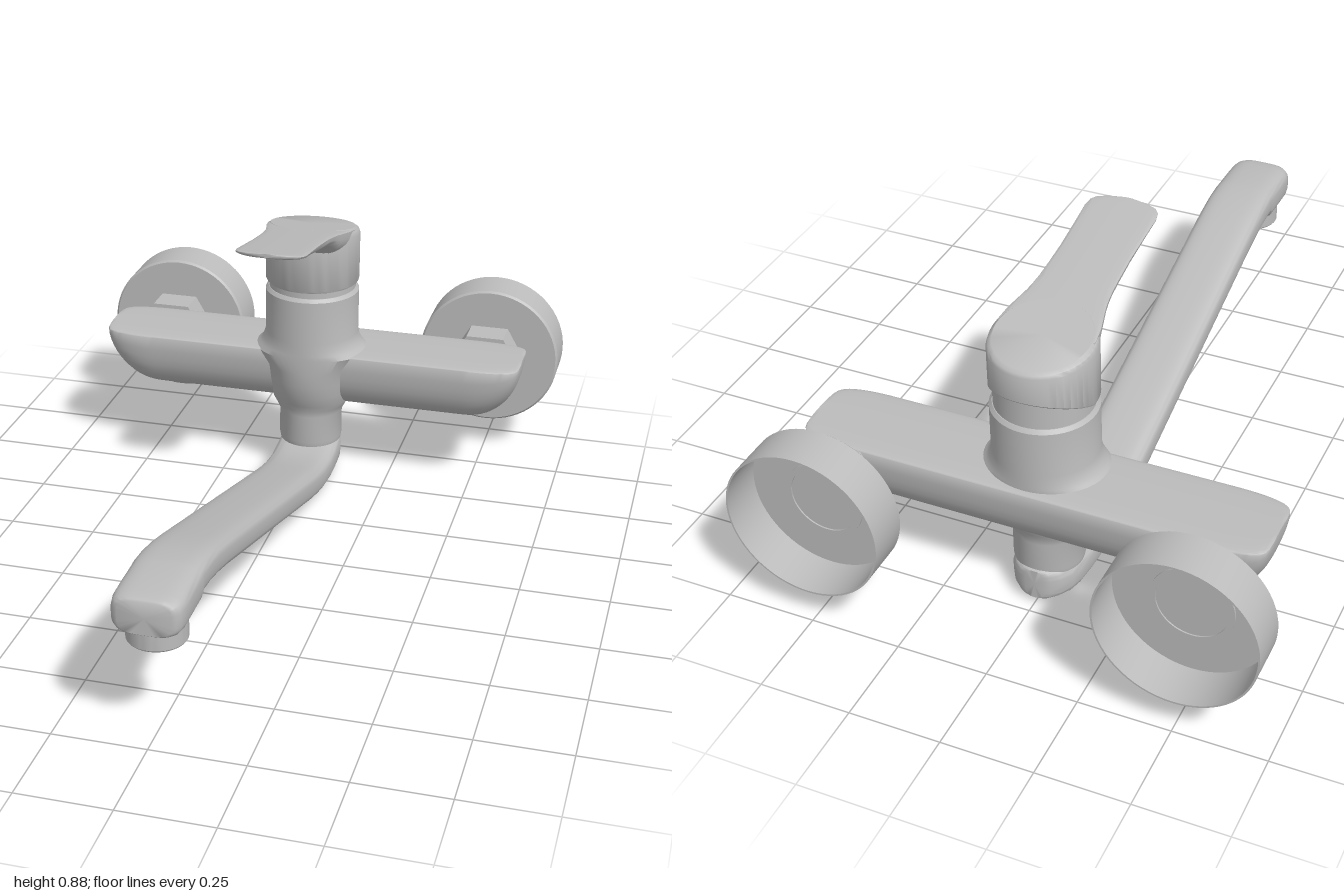
import * as THREE from 'three';
import { toCreasedNormals } from 'three/addons/utils/BufferGeometryUtils.js';

const metal = new THREE.MeshStandardMaterial({ color: 0xbcbcbc });
metal.name = 'satin metal';

const BODY_Z = -0.615;
const RING = 40;

function part(name, geometry, crease = 0.6) {
  const mesh = new THREE.Mesh(toCreasedNormals(geometry, crease), metal);
  mesh.name = name;
  return mesh;
}

const lathe = (points, segments = 48) =>
  new THREE.LatheGeometry(points.map(([r, y]) => new THREE.Vector2(r, y)), segments);

// Superellipse outline with separate upper and lower heights
function outline(halfWidth, up, down, power) {
  return Array.from({ length: RING }, (_, i) => {
    const t = (i / RING) * Math.PI * 2;
    const bend = (v) => Math.sign(v) * Math.abs(v) ** power;
    const s = bend(Math.sin(t));
    return [halfWidth * bend(Math.cos(t)), s * (s > 0 ? up : down)];
  });
}

// Skin a list of rings of [x, y, z] and close both ends
function loft(rings) {
  const pos = rings.flat(2);
  const index = [];
  const last = rings.length - 1;
  for (let i = 0; i < last; i++) {
    for (let j = 0; j < RING; j++) {
      const k = (j + 1) % RING;
      const a = i * RING + j, b = i * RING + k;
      index.push(a, b, a + RING, b, b + RING, a + RING);
    }
  }
  for (const end of [0, last]) {
    const centre = pos.length / 3;
    for (let n = 0; n < 3; n++) pos.push(rings[end].reduce((s, p) => s + p[n], 0) / RING);
    for (let j = 0; j < RING; j++) {
      const a = end * RING + j, b = end * RING + (j + 1) % RING;
      if (end === 0) index.push(centre, b, a);
      else index.push(centre, a, b);
    }
  }
  const g = new THREE.BufferGeometry();
  g.setAttribute('position', new THREE.Float32BufferAttribute(pos, 3));
  g.setIndex(index);
  return g;
}

// Move every vertex by a rule
function reshape(geometry, rule) {
  const p = geometry.attributes.position;
  const v = new THREE.Vector3();
  for (let i = 0; i < p.count; i++) {
    rule(v.fromBufferAttribute(p, i));
    p.setXYZ(i, v.x, v.y, v.z);
  }
  return geometry;
}

// Crossbar: flat top, round belly, boat-shaped ends
function crossbar() {
  const rings = [];
  const addRing = (x, k) => rings.push(
    outline(0.12 * k ** 0.25, 0.008, 0.18 * k, 0.8).map(([u, v]) => [x, 0.405 + v, -0.65 - u]));
  const steps = 14;
  for (let side = -1; side <= 1; side += 2) {
    for (let i = 0; i <= steps; i++) {
      const a = 1.52 * (side < 0 ? 1 - i / steps : i / steps);
      addRing(side * (0.48 + 0.16 * Math.sin(a)), Math.cos(a));
    }
  }
  return part('crossbar', loft(rings), 0.7);
}

// Central body, flared sideways where it meets the crossbar
function body() {
  const g = lathe([
    [0, 0.1], [0.092, 0.1], [0.095, 0.115], [0.095, 0.2], [0.098, 0.22], [0.108, 0.24],
    [0.122, 0.275], [0.132, 0.315], [0.138, 0.36], [0.14, 0.405], [0.14, 0.42], [0.14, 0.435],
    [0.14, 0.46], [0.14, 0.592], [0.132, 0.602], [0, 0.602],
  ]);
  reshape(g, (v) => {
    const upper = Math.max(0, 1 - Math.abs(v.y - 0.405) / 0.055);
    const lower = Math.max(0, 1 - Math.abs(v.y - 0.23) / 0.03);
    v.x *= 1 + 0.25 * upper ** 2 + 0.18 * lower ** 2;
    v.z += BODY_Z;
  });
  return part('centralBody', g);
}

// Handle: sloped cap with a flat lever
const leverTop = (z) => 0.768 + (z + 0.755) * 0.176;

function handle() {
  const group = new THREE.Group();
  group.name = 'handle';

  const core = part('cartridgeNeck', new THREE.CylinderGeometry(0.13, 0.13, 0.12, 48));
  core.position.set(0, 0.65, BODY_Z);

  const cap = reshape(
    lathe([[0, 0], [0.137, 0], [0.14, 0.03], [0.14, 0.87], [0.136, 0.95], [0.126, 1], [0, 1]]),
    (v) => {
      v.z += BODY_Z;
      const bottom = 0.622 + 0.43 * Math.max(0, -0.62 - v.z);
      v.y = THREE.MathUtils.lerp(bottom, leverTop(v.z), v.y);
    });

  // z, half width, underside height
  const rows = [
    [-0.6, 0.132, 0.7], [-0.55, 0.126, 0.715], [-0.5, 0.113, 0.735], [-0.475, 0.107, 0.755],
    [-0.45, 0.103, 0.773], [-0.42, 0.1, 0.784], [-0.38, 0.098, 0.793], [-0.3, 0.096, 0.812],
    [-0.2, 0.098, 0.84], [-0.14, 0.1, 0.857], [-0.115, 0.096, 0.864], [-0.1, 0.083, 0.868],
    [-0.09, 0.055, 0.872], [-0.085, 0.02, 0.875],
  ];
  const lever = loft(rows.map(([z, w, low]) => {
    const y = leverTop(z) - 0.004;
    return outline(w, 0.004, y - low, 0.75).map(([u, v]) => [u, y + v, z]);
  }));
  group.add(core, part('handleCap', cap), part('lever', lever, 0.8));
  return group;
}

// Swivel spout: rounded-rectangle sections along its swept path
function spout() {
  const group = new THREE.Group();
  group.name = 'spout';
  // z, bottom, top, half width
  const rows = [
    [-0.716, 0.022, 0.112, 0.025], [-0.71, 0.02, 0.114, 0.045], [-0.69, 0.018, 0.115, 0.068],
    [-0.66, 0.015, 0.115, 0.086], [-0.62, 0.011, 0.113, 0.094], [-0.56, 0.006, 0.1, 0.095],
    [-0.5, 0.004, 0.093, 0.095], [-0.42, 0.011, 0.102, 0.095], [-0.35, 0.024, 0.118, 0.095],
    [-0.27, 0.044, 0.14, 0.095], [0, 0.123, 0.217, 0.094], [0.5, 0.268, 0.36, 0.092],
    [0.6, 0.298, 0.388, 0.092], [0.68, 0.319, 0.409, 0.092], [0.75, 0.333, 0.422, 0.092],
    [0.81, 0.338, 0.428, 0.092], [0.83, 0.322, 0.429, 0.092], [0.9, 0.32, 0.428, 0.092],
    [0.96, 0.32, 0.424, 0.092], [0.985, 0.32, 0.421, 0.087], [0.996, 0.322, 0.418, 0.078],
    [1.0, 0.325, 0.414, 0.068],
  ];
  const tube = loft(rows.map(([z, low, high, w]) => {
    const h = (high - low) / 2;
    return outline(w, h, h, 0.55).map(([u, v]) => [u, low + h + v, z]);
  }));
  const aerator = part('aerator', lathe([
    [0, 0.3], [0.064, 0.3], [0.066, 0.268], [0.074, 0.268], [0.077, 0.272], [0.077, 0.34],
  ]));
  aerator.position.z = 0.905;
  group.add(part('spoutTube', tube, 0.8), aerator);
  return group;
}

// Wall connection: hollow cover, hex nut and short neck
function wallConnection(side) {
  const group = new THREE.Group();
  group.name = side > 0 ? 'leftWallConnection' : 'rightWallConnection';
  const cover = lathe([
    [0, 0], [0.209, 0], [0.215, 0.006], [0.215, 0.13], [0.21, 0.13], [0.21, 0.008],
    [0.11, 0.008], [0.11, 0.014], [0.095, 0.014], [0.095, 0.01], [0, 0.01],
  ], 64);
  const nut = new THREE.CylinderGeometry(0.113, 0.113, 0.092, 6).rotateY(Math.PI / 6);
  const neck = new THREE.CylinderGeometry(0.085, 0.085, 0.12, 40);
  const place = (name, geometry, z) => {
    const mesh = part(name, geometry.rotateX(-Math.PI / 2));
    mesh.position.z = z;
    group.add(mesh);
  };
  place('wallCover', cover, -0.87);
  place('hexNut', nut, -0.826);
  place('connectionNeck', neck, -0.74);
  group.position.set(side * 0.503, 0.315, 0);
  return group;
}

export function createModel() {
  const model = new THREE.Group();
  model.name = 'wallMixerTap';
  model.add(crossbar(), body(), handle(), spout(), wallConnection(1), wallConnection(-1));
  return model;
}
